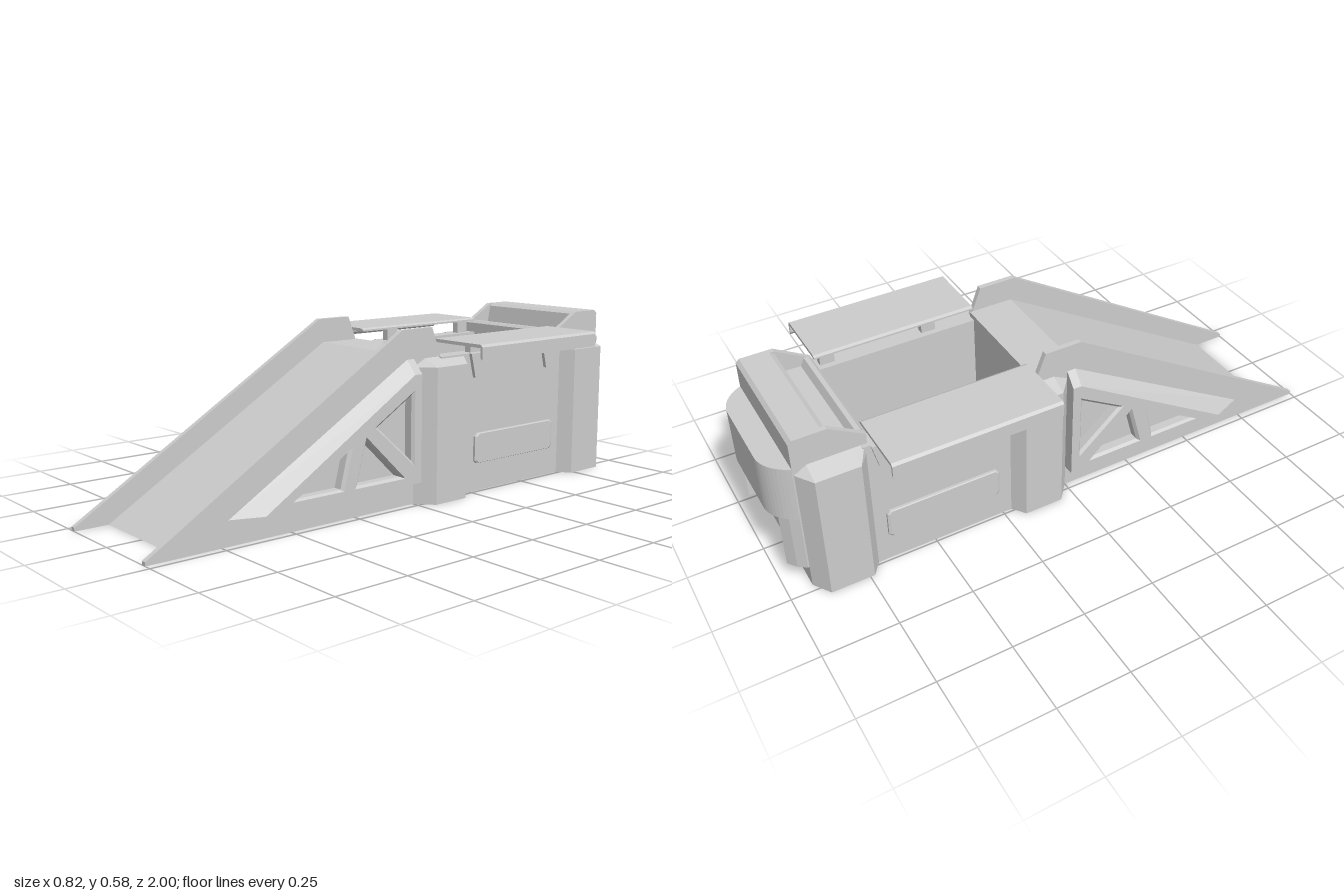
import * as THREE from 'three';

const grey = new THREE.MeshStandardMaterial({ color: 0xcccccc, side: THREE.DoubleSide });
grey.name = 'light grey';

const toShape = (pts) => new THREE.Shape(pts.map(([u, v]) => new THREE.Vector2(u, v)));
const extrude = (shape, depth) => new THREE.ExtrudeGeometry(shape, { depth, bevelEnabled: false });

function add(parent, name, geometry) {
  const mesh = new THREE.Mesh(geometry, grey);
  mesh.name = name;
  parent.add(mesh);
}

// Side profile in [z, y], extruded from x0 to x1
const sideProfile = (pts, x0, x1) =>
  extrude(toShape(pts), x1 - x0).rotateY(-Math.PI / 2).translate(x1, 0, 0);

// Plan outline in [x, z], extruded from y0 to y1
const planProfile = (pts, y0, y1) =>
  extrude(toShape(pts.map(([x, z]) => [x, -z])), y1 - y0).rotateX(-Math.PI / 2).translate(0, y0, 0);

const box = (x0, x1, y0, y1, z0, z1) =>
  new THREE.BoxGeometry(x1 - x0, y1 - y0, z1 - z0).translate((x0 + x1) / 2, (y0 + y1) / 2, (z0 + z1) / 2);

// Joins rings of [x, y, z] points with flat faces; the last ring may be capped
function loft(rings, cap) {
  const pos = [];
  const tri = (...corners) => corners.forEach((p) => pos.push(...p));
  for (let r = 0; r < rings.length - 1; r++) {
    const a = rings[r], b = rings[r + 1], n = a.length;
    for (let i = 0; i < n; i++) {
      const j = (i + 1) % n;
      tri(a[i], a[j], b[j]);
      tri(a[i], b[j], b[i]);
    }
  }
  const top = rings[rings.length - 1];
  if (cap) for (let i = 1; i < top.length - 1; i++) tri(top[0], top[i], top[i + 1]);
  const geometry = new THREE.BufferGeometry();
  geometry.setAttribute('position', new THREE.Float32BufferAttribute(pos, 3));
  geometry.computeVertexNormals();
  return geometry;
}

// Shrinks a polygon toward its centre
function shrink(pts, k) {
  const cu = pts.reduce((s, p) => s + p[0], 0) / pts.length;
  const cv = pts.reduce((s, p) => s + p[1], 0) / pts.length;
  return pts.map(([u, v]) => [cu + (u - cu) * k, cv + (v - cv) * k]);
}

// Corner pillar with angled edges and a chamfered top
function pillar(z0, z1, z2, z3) {
  const plan = [[0.225, z0], [0.285, z1], [0.285, z2], [0.235, z3], [0.2, z3], [0.2, z0]];
  const ring = (y, limit) => plan.map(([x, z]) => [Math.min(x, limit), y, z]);
  return loft([ring(0, 1), ring(0.458, 1), ring(0.483, 0.225)], true);
}

function buildSide() {
  const side = new THREE.Group();

  // Ramp rail
  add(side, 'rampRail', sideProfile(
    [[1, 0], [1, 0.012], [0.05, 0.582], [-0.08, 0.582], [-0.12, 0.48], [-0.12, 0]], 0.207, 0.225));

  // Truss panel: bevelled border, pierced face, tapered recesses
  const inner = [[0.725, 0.08], [0.03, 0.485], [0, 0.485], [0, 0.08]];
  const outer = [[0.62, 0.08], [0.03, 0.44], [0, 0.44], [0, 0.08]];
  const at = (pts, x) => pts.map(([z, y]) => [x, y, z]);
  add(side, 'trussBorder', loft([at(inner, 0.225), at(outer, 0.265)], false));
  const holes = [
    [[0.52, 0.105], [0.29, 0.24], [0.325, 0.105]],
    [[0.28, 0.105], [0.235, 0.265], [0.07, 0.105]],
    [[0.2, 0.29], [0.03, 0.39], [0.03, 0.14]],
  ];
  const face = toShape(outer);
  holes.forEach((h) => face.holes.push(new THREE.Path(h.map(([u, v]) => new THREE.Vector2(u, v)))));
  add(side, 'trussFace', new THREE.ShapeGeometry(face).rotateY(-Math.PI / 2).translate(0.265, 0, 0));
  holes.forEach((h) => add(side, 'trussRecess',
    loft([at(h, 0.265), at(shrink(h, 0.86), 0.255), at(shrink(h, 0.86), 0.226)], false)));

  // Pillars and hopper wall
  add(side, 'frontPillar', pillar(0, -0.05, -0.185, -0.222));
  add(side, 'rearPillar', pillar(-0.92, -0.88, -0.735, -0.698));
  add(side, 'hopperWall', box(0.18, 0.24, 0, 0.483, -0.71, -0.11));

  // Raised plate on the wall
  const plate = [[-0.265, 0.11], [-0.265, 0.195], [-0.275, 0.205], [-0.65, 0.205],
    [-0.66, 0.195], [-0.66, 0.11], [-0.65, 0.1], [-0.275, 0.1]];
  add(side, 'wallPlate', loft([at(plate, 0.24), at(plate, 0.248), at(shrink(plate, 0.96), 0.252)], true));

  // Brackets carrying the open lid
  for (const z of [-0.283, -0.642]) {
    add(side, 'lidBracket', sideProfile(
      [[z + 0.045, 0.483], [z + 0.025, 0.4], [z - 0.025, 0.4], [z - 0.045, 0.483]], 0.235, 0.252));
    add(side, 'lidHinge', box(0.2, 0.225, 0.48, 0.53, z - 0.025, z + 0.025));
  }

  // Open lid with a turned-down outer lip
  const lid = [[0.18, 0.527], [0.18, 0.533], [0.19, 0.538], [0.402, 0.538], [0.41, 0.53],
    [0.41, 0.486], [0.402, 0.496], [0.402, 0.527]];
  add(side, 'lid', extrude(toShape(lid), 0.565).translate(0, 0, -0.69));

  // Cheek beside the rear opening
  add(side, 'rearCheek', planProfile(
    [[0.175, -0.69], [0.225, -0.69], [0.225, -0.925], [0.205, -0.952], [0.175, -0.975]], 0.08, 0.285));

  // Side of the rear top block
  add(side, 'topBlockSide', sideProfile(
    [[-0.69, 0.48], [-0.69, 0.518], [-0.805, 0.585], [-0.912, 0.585], [-0.924, 0.573], [-0.924, 0.48]],
    0.207, 0.225));
  return side;
}

export function createModel() {
  const model = new THREE.Group();
  model.name = 'rampAndHopper';

  for (const s of [1, -1]) {
    const side = buildSide();
    side.name = s > 0 ? 'leftSide' : 'rightSide';
    side.scale.x = s;
    model.add(side);
  }

  // Ramp deck and landing
  add(model, 'rampDeck', sideProfile(
    [[0.885, 0], [0.035, 0.5], [-0.122, 0.5], [-0.122, 0]], -0.208, 0.208));

  // Hopper floor, raised tee and small feeder
  add(model, 'hopperFloor', box(-0.235, 0.235, 0, 0.06, -0.7, -0.12));
  add(model, 'floorTee', planProfile([[-0.08, -0.555], [0.08, -0.555], [0.08, -0.51], [0.035, -0.5],
    [0.035, -0.26], [-0.035, -0.26], [-0.035, -0.5], [-0.08, -0.51]], 0.06, 0.07));
  add(model, 'feederBase', box(-0.165, 0.165, 0.06, 0.12, -0.26, -0.14));
  add(model, 'feederTop', box(-0.145, 0.145, 0.12, 0.14, -0.25, -0.17));
  for (const x of [-0.11, 0.11]) add(model, 'feederPeg', box(x - 0.015, x + 0.015, 0.14, 0.15, -0.24, -0.18));

  // Rear wall and floor of the opening
  add(model, 'rearWall', box(-0.225, 0.225, 0, 0.483, -0.73, -0.69));
  add(model, 'openingFloor', box(-0.225, 0.225, 0, 0.08, -0.92, -0.7));

  // Rounded hood over the opening
  const curve = new THREE.QuadraticBezierCurve(
    new THREE.Vector2(0.225, -0.925), new THREE.Vector2(0.185, -0.998), new THREE.Vector2(0.12, -1));
  const arc = curve.getPoints(10).map((p) => [p.x, p.y]);
  const mirrored = arc.map(([x, z]) => [-x, z]).reverse();
  add(model, 'hood', planProfile([[0.225, -0.7], ...arc, ...mirrored, [-0.225, -0.7]], 0.285, 0.483));

  // Rear top block with a trough across its front
  add(model, 'topBlock', sideProfile([[-0.69, 0.48], [-0.69, 0.518], [-0.7, 0.527], [-0.715, 0.527],
    [-0.728, 0.5], [-0.79, 0.5], [-0.805, 0.576], [-0.82, 0.585], [-0.912, 0.585], [-0.924, 0.573],
    [-0.924, 0.48]], -0.207, 0.207));

  return model;
}
